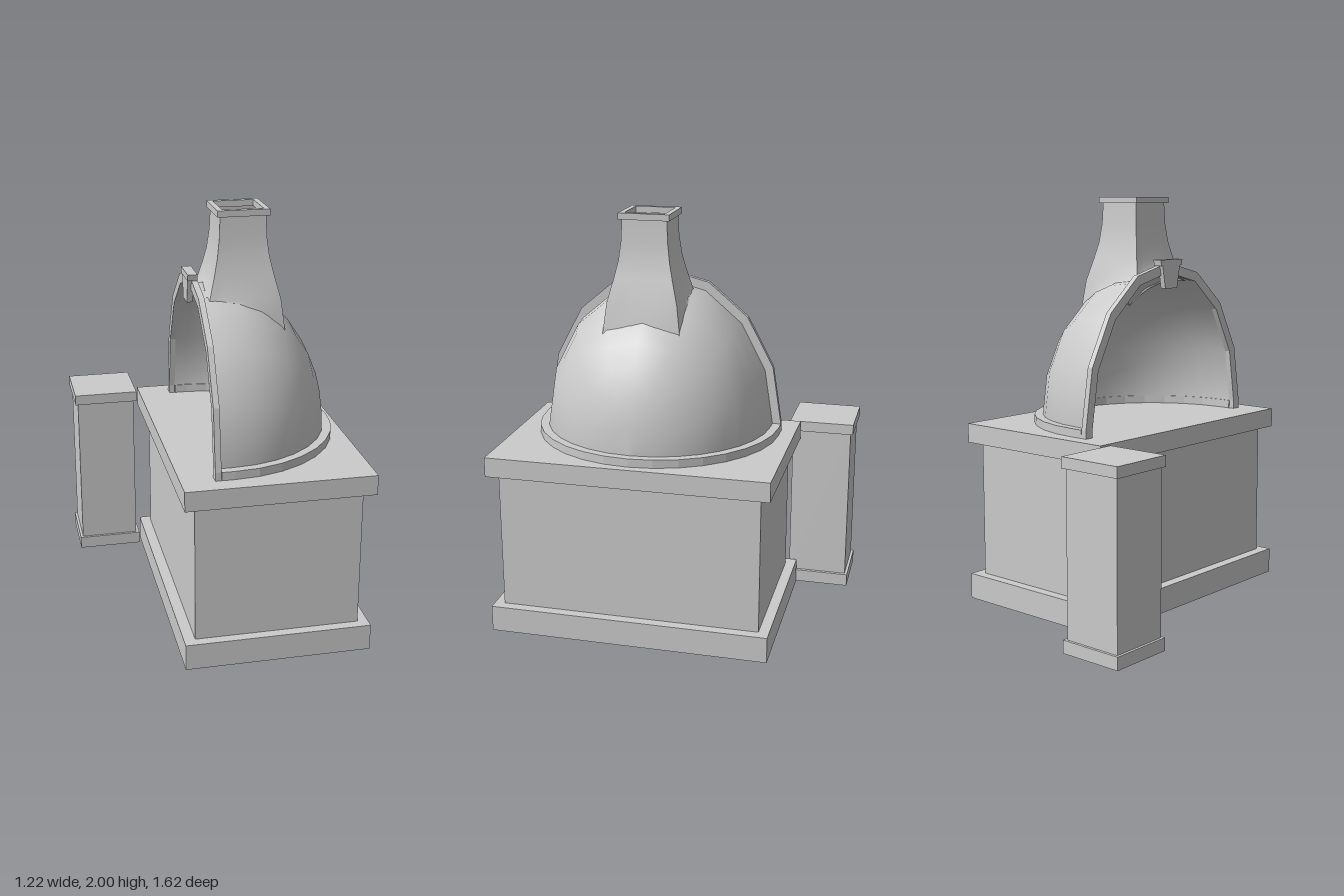
import * as THREE from 'three';

const CX = -0.03, CZ = 0.125;            // centre of the half dome
const R = 0.555, RISE = 0.705, BASE = 0.935;
const mat = new THREE.MeshStandardMaterial({ color: 0xcccccc });
const shell = new THREE.MeshStandardMaterial({ color: 0xcccccc, side: THREE.DoubleSide });

export function createModel() {
  const group = new THREE.Group();
  const add = (name, geo, material = mat) => {
    const mesh = new THREE.Mesh(geo, material);
    mesh.name = name;
    group.add(mesh);
    return mesh;
  };
  const block = (name, x0, x1, y0, y1, z0, z1) =>
    add(name, new THREE.BoxGeometry(x1 - x0, y1 - y0, z1 - z0)
      .translate((x0 + x1) / 2, (y0 + y1) / 2, (z0 + z1) / 2));
  const extrude = (shape, depth) => new THREE.ExtrudeGeometry(shape, { depth, bevelEnabled: false });
  const shapeOf = pts => new THREE.Shape(pts.map(p => new THREE.Vector2(...p)));

  // Masonry base
  block('basePlinth', -0.275, 0.608, 0, 0.127, -0.545, 0.81);
  block('baseBody', -0.222, 0.558, 0.127, 0.8, -0.495, 0.762);
  block('baseSlab', -0.275, 0.608, 0.8, 0.895, -0.545, 0.81);

  // Side pillar
  block('pillarFoot', -0.61, -0.287, 0, 0.062, -0.81, -0.49);
  block('pillarBody', -0.597, -0.303, 0.062, 0.838, -0.797, -0.503);
  block('pillarCap', -0.61, -0.287, 0.838, 0.89, -0.81, -0.49);

  // Half dome, turned about the x axis, with a short straight part at the mouth
  const profile = [new THREE.Vector2(R, -0.07)];
  for (let i = 0; i <= 8; i++) {
    const a = i / 8 * Math.PI / 2;
    profile.push(new THREE.Vector2(i === 8 ? 0 : R * Math.cos(a), R * Math.sin(a)));
  }
  const dome = new THREE.LatheGeometry(profile, 8, Math.PI, Math.PI);
  dome.rotateZ(-Math.PI / 2).scale(1, RISE / R, 1).translate(CX, BASE, CZ);
  add('dome', dome, shell);

  // Curved rim around the foot of the dome
  const horseshoe = r => {
    const pts = [[-0.06, r]];
    for (let i = 0; i <= 16; i++) {
      const a = Math.PI / 2 - i / 16 * Math.PI;
      pts.push([r * Math.cos(a), r * Math.sin(a)]);
    }
    pts.push([-0.06, -r]);
    return pts;
  };
  const rim = extrude(shapeOf([...horseshoe(0.597), ...horseshoe(R - 0.005).reverse()]), BASE - 0.895);
  add('domeRim', rim.rotateX(-Math.PI / 2).translate(CX, 0.895, CZ));

  // Faceted arch around the mouth
  const archLine = (r, h) => {
    const pts = [[r, 0.895]];
    for (let i = 0; i <= 8; i++) {
      const a = i / 8 * Math.PI;
      pts.push([r * Math.cos(a), BASE + h * Math.sin(a)]);
    }
    pts.push([-r, 0.895]);
    return pts;
  };
  const arch = extrude(shapeOf([...archLine(0.597, 0.75), ...archLine(R - 0.003, RISE - 0.003).reverse()]), 0.028);
  add('mouthArch', arch.rotateY(-Math.PI / 2).translate(-0.092, 0, CZ));

  // Wedge keystone with a wider head
  const wedge = (name, bottom, top, y0, y1, x0, x1) => add(name,
    extrude(shapeOf([[-bottom, y0], [bottom, y0], [top, y1], [-top, y1]]), x1 - x0)
      .rotateY(-Math.PI / 2).translate(x1, 0, CZ));
  wedge('keystone', 0.045, 0.066, 1.56, 1.67, -0.138, -0.11);
  wedge('keystoneHead', 0.078, 0.083, 1.67, 1.7, -0.14, -0.094);

  // Flared square chimney whose lower edge follows the dome
  const KX = 0.11, KZ = 0.132, STEPS = 6;
  const levels = [[1.44, 0.186], [1.59, 0.168], [1.7, 0.14], [1.78, 0.122], [1.87, 0.111], [1.975, 0.107]];
  const domeY = (x, z) => BASE + RISE * Math.sqrt(Math.max(0,
    1 - (Math.max(0, x - CX) / R) ** 2 - ((z - CZ) / R) ** 2));
  const pos = [], idx = [];
  for (let side = 0; side < 4; side++) {
    const c = Math.round(Math.cos(side * Math.PI / 2)), s = Math.round(Math.sin(side * Math.PI / 2));
    const start = pos.length / 3;
    for (const [y, h] of levels) {
      for (let i = 0; i <= STEPS; i++) {
        const u = h * (2 * i / STEPS - 1);
        const x = KX + c * u + s * h, z = KZ - s * u + c * h;
        pos.push(x, Math.max(y, domeY(x, z) - 0.012), z);
      }
    }
    for (let j = 0; j < levels.length - 1; j++) {
      for (let i = 0; i < STEPS; i++) {
        const a = start + j * (STEPS + 1) + i, b = a + STEPS + 1;
        idx.push(a, a + 1, b + 1, a, b + 1, b);
      }
    }
  }
  const chimney = new THREE.BufferGeometry();
  chimney.setAttribute('position', new THREE.Float32BufferAttribute(pos, 3));
  chimney.setIndex(idx);
  chimney.computeVertexNormals();
  add('chimney', chimney, shell);

  // Open square collar on the chimney
  const square = h => [[-h, -h], [h, -h], [h, h], [-h, h]];
  const collar = shapeOf(square(0.122));
  collar.holes.push(new THREE.Path(square(0.096).reverse().map(p => new THREE.Vector2(...p))));
  add('chimneyCollar', extrude(collar, 0.03).rotateX(-Math.PI / 2).translate(KX, 1.97, KZ));

  return group;
}
